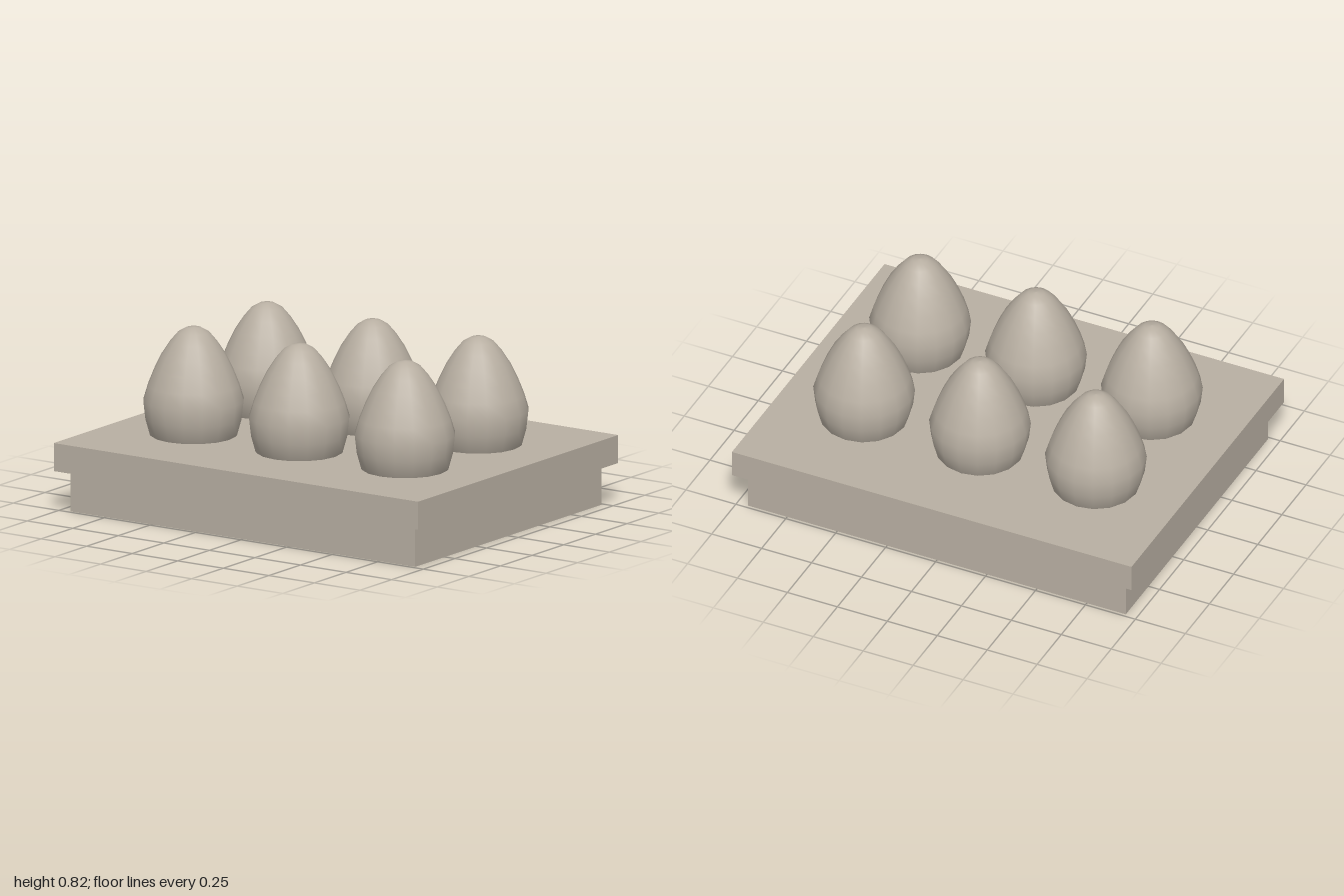
import * as THREE from 'three';

export function createModel() {
  const model = new THREE.Group();
  model.name = 'eggTray';
  const stone = new THREE.MeshStandardMaterial({ color: 0xb8afa2 });
  stone.name = 'warm grey';

  const add = (geometry, name, x, y, z) => {
    const mesh = new THREE.Mesh(geometry, stone);
    mesh.name = name;
    mesh.position.set(x, y, z);
    model.add(mesh);
  };

  // Stepped tray: recessed base below a wider slab
  add(new THREE.BoxGeometry(1.89, 0.19, 1.47), 'trayBase', 0, 0.095, 0);
  add(new THREE.BoxGeometry(2, 0.13, 1.58), 'traySlab', 0, 0.255, 0);

  // Egg: smooth 16-sided lathe, its underside sunk into the slab
  const profile = [
    [0, 0.24], [0.1, 0.255], [0.165, 0.285], [0.2, 0.325], [0.221, 0.4], [0.23, 0.48],
    [0.209, 0.55], [0.181, 0.62], [0.147, 0.69], [0.108, 0.75], [0.07, 0.795], [0.035, 0.815], [0, 0.82],
  ].map(([r, y]) => new THREE.Vector2(r, y));
  const egg = new THREE.LatheGeometry(profile, 16);

  // Two rows of three
  for (const z of [-0.29, 0.29]) {
    for (const x of [-0.58, 0, 0.58]) add(egg, 'egg', x, 0, z);
  }
  return model;
}
